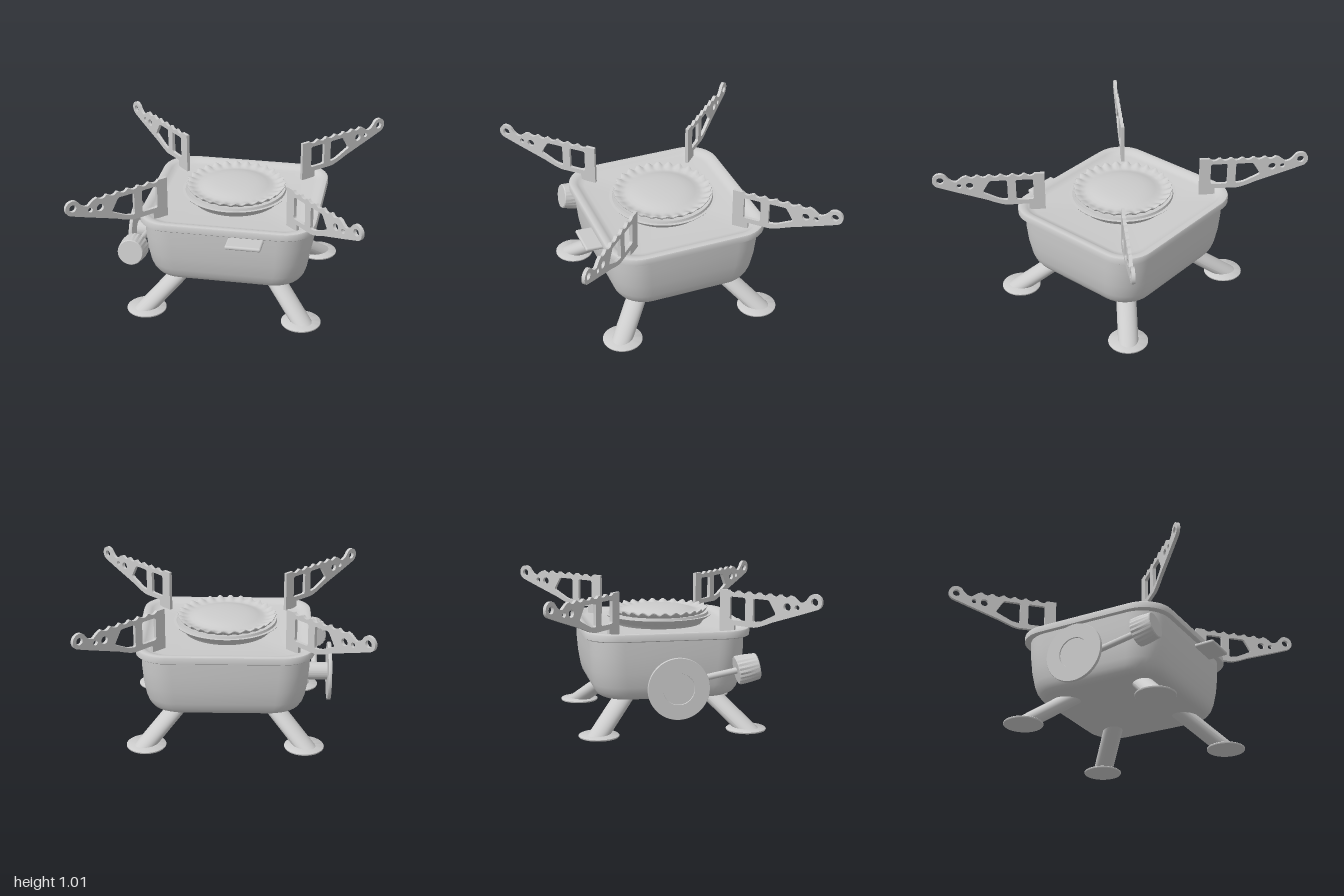
import * as THREE from 'three';
import { toCreasedNormals } from 'three/addons/utils/BufferGeometryUtils.js';
import { RoundedBoxGeometry } from 'three/addons/geometries/RoundedBoxGeometry.js';

const grey = new THREE.MeshStandardMaterial({ color: 0xcccccc, side: THREE.DoubleSide });
const V = (x, y, z) => new THREE.Vector3(x, y, z);

function part(name, geometry, parent) {
  const mesh = new THREE.Mesh(geometry, grey);
  mesh.name = name;
  parent.add(mesh);
  return mesh;
}

// Stacks rounded rectangles [halfX, halfZ, cornerRadius, y] from the bottom up
function loft(rings, perCorner = 10) {
  const pos = [], index = [], n = perCorner * 4;
  for (const [hx, hz, r, y] of rings) {
    for (let c = 0; c < 4; c++) {
      const sx = c === 0 || c === 3 ? 1 : -1, sz = c < 2 ? 1 : -1;
      for (let k = 0; k < perCorner; k++) {
        const a = (c + k / (perCorner - 1)) * Math.PI / 2;
        pos.push(sx * (hx - r) + r * Math.cos(a), y, sz * (hz - r) + r * Math.sin(a));
      }
    }
  }
  for (let i = 0; i < rings.length - 1; i++) {
    for (let j = 0; j < n; j++) {
      const a = i * n + j, b = i * n + (j + 1) % n;
      index.push(a, a + n, b, b, a + n, b + n);
    }
  }
  const g = new THREE.BufferGeometry();
  g.setAttribute('position', new THREE.Float32BufferAttribute(pos, 3));
  g.setIndex(index);
  return toCreasedNormals(g, 0.7);
}

const lathe = (points, segments = 48) =>
  toCreasedNormals(new THREE.LatheGeometry(points.map(p => new THREE.Vector2(...p)), segments), 0.7);

// Straight round bar between two points
function bar(name, a, b, radius, parent) {
  const mesh = part(name, new THREE.CylinderGeometry(radius, radius, a.distanceTo(b), 28), parent);
  mesh.position.copy(a).add(b).multiplyScalar(0.5);
  mesh.quaternion.setFromUnitVectors(V(0, 1, 0), b.clone().sub(a).normalize());
}

// Burner head: rows above the pan get a crimped edge that fades inwards
function wavyCap() {
  const profile = [[0.27, 0.755], [0.31, 0.765], [0.335, 0.78], [0.352, 0.797], [0.352, 0.803], [0.34, 0.803],
    [0.315, 0.793], [0.29, 0.785], [0.265, 0.787], [0.235, 0.797], [0.2, 0.807], [0.15, 0.815], [0.08, 0.82], [0, 0.822]];
  const g = new THREE.LatheGeometry(profile.map(p => new THREE.Vector2(...p)), 224);
  const p = g.attributes.position;
  for (let i = 0; i < p.count; i++) {
    const x = p.getX(i), z = p.getZ(i), r = Math.hypot(x, z);
    const wave = Math.sin(28 * Math.atan2(z, x)) * THREE.MathUtils.smoothstep(r, 0.28, 0.35);
    const s = 1 + 0.02 * wave;
    p.setXYZ(i, x * s, p.getY(i) + 0.01 * wave, z * s);
  }
  return toCreasedNormals(g, 0.8);
}

// Toothed pan support with windows; u runs outwards along the blade
function bladeGeometry() {
  const u = x => (x - 0.43) * Math.SQRT2;
  const ring = [u(0.95), 0.955];
  const s = new THREE.Shape();
  s.moveTo(u(0.43), 0.69);
  s.lineTo(u(0.512), 0.69);
  s.lineTo(u(0.512), 0.74);
  s.lineTo(u(0.62), 0.738);
  s.quadraticCurveTo(u(0.65), 0.74, u(0.72), 0.785);
  s.lineTo(u(0.88), 0.862);
  s.lineTo(ring[0] + 0.025, ring[1] - 0.049);
  s.absarc(...ring, 0.055, -1.1, Math.PI * 0.85, false);
  s.quadraticCurveTo(u(0.895), 0.94, u(0.87), 0.942);
  s.lineTo(u(0.84), 0.975);
  const teeth = 6, pitch = (0.82 - 0.47) / teeth;
  for (let i = 0; i < teeth; i++) {
    const x = 0.82 - i * pitch;
    s.lineTo(u(x), 0.985);
    s.quadraticCurveTo(u(x - pitch * 0.5), 0.95, u(x - pitch * 0.85), 0.985);
  }
  s.lineTo(u(0.43), 0.985);
  s.closePath();

  const windowHole = pts => {
    const h = new THREE.Path(), n = pts.length;
    pts.forEach((p, i) => {
      const a = new THREE.Vector2(...p);
      const toward = q => a.clone().add(new THREE.Vector2(...q).sub(a).setLength(0.015));
      const from = toward(pts[(i + n - 1) % n]), to = toward(pts[(i + 1) % n]);
      if (i) h.lineTo(from.x, from.y); else h.moveTo(from.x, from.y);
      h.quadraticCurveTo(a.x, a.y, to.x, to.y);
    });
    h.closePath();
    s.holes.push(h);
  };
  windowHole([[u(0.488), 0.775], [u(0.488), 0.94], [u(0.575), 0.94], [u(0.575), 0.775]]);
  windowHole([[u(0.618), 0.775], [u(0.618), 0.94], [u(0.705), 0.94], [u(0.745), 0.845], [u(0.66), 0.785]]);
  for (const [x, y, r] of [[u(0.805), 0.905, 0.027], [u(0.858), 0.907, 0.018], [...ring, 0.026]]) {
    s.holes.push(new THREE.Path().absarc(x, y, r, 0, Math.PI * 2, true));
  }
  const g = new THREE.ExtrudeGeometry(s, { depth: 0.024, bevelEnabled: false, curveSegments: 8 });
  g.translate(0, 0, -0.012);
  return toCreasedNormals(g, 0.6);
}

export function createModel() {
  const model = new THREE.Group();
  model.name = 'campStove';

  // Housing, narrowing to a rounded underside
  part('housing', loft([
    [0, 0, 0, 0.23], [0.46, 0.42, 0.17, 0.23], [0.5, 0.46, 0.19, 0.236], [0.53, 0.487, 0.2, 0.253], [0.55, 0.507, 0.21, 0.285],
    [0.565, 0.521, 0.215, 0.33], [0.582, 0.538, 0.22, 0.43], [0.592, 0.547, 0.22, 0.55], [0.595, 0.55, 0.22, 0.67]
  ]), model).position.z = -0.012;

  // Top tray with an overhanging rim and a sunken floor
  part('topTray', loft([
    [0.58, 0.54, 0.2, 0.662], [0.618, 0.576, 0.21, 0.66], [0.626, 0.584, 0.218, 0.666], [0.627, 0.585, 0.22, 0.705],
    [0.622, 0.58, 0.215, 0.714], [0.61, 0.568, 0.205, 0.717], [0.585, 0.543, 0.185, 0.715],
    [0.565, 0.523, 0.17, 0.706], [0.55, 0.508, 0.16, 0.695], [0.52, 0.478, 0.14, 0.69], [0, 0, 0, 0.69]
  ]), model).position.set(0.004, 0, -0.012);

  // Burner
  const burner = new THREE.Group();
  burner.name = 'burner';
  model.add(burner);
  part('burnerPan', lathe([[0.31, 0.685], [0.33, 0.716], [0.382, 0.752], [0.386, 0.758], [0.365, 0.758],
    [0.36, 0.775], [0.33, 0.768], [0.26, 0.765]], 96), burner);
  part('burnerCap', wavyCap(), burner);

  // Four splayed legs on round feet, four pan supports
  const blade = bladeGeometry();
  const foot = lathe([[0, 0.003], [0.12, 0.002], [0.138, 0], [0.141, 0.004], [0.141, 0.011], [0.136, 0.015], [0, 0.02]]);
  for (const sx of [-1, 1]) for (const sz of [-1, 1]) {
    const leg = new THREE.Group();
    leg.name = 'leg';
    model.add(leg);
    part('foot', foot, leg).position.set(sx * 0.56, 0, sz * 0.522);
    const legTop = V(sx * 0.27, 0.285, sz * 0.25), legEnd = V(sx * 0.56, 0.012, sz * 0.522);
    const tube = new THREE.CylinderGeometry(0.072, 0.072, 1, 28, 1, true);
    // Shear the tube so that its ends stay level on the foot
    const p = tube.attributes.position;
    for (let i = 0; i < p.count; i++) {
      const t = p.getY(i) + 0.5, c = V(0, 0, 0).lerpVectors(legEnd, legTop, t);
      const along = p.getX(i) * 1.35, across = p.getZ(i), k = Math.SQRT1_2;
      p.setXYZ(i, c.x + (along * sx - across * sz) * k, c.y, c.z + (along * sz + across * sx) * k);
    }
    tube.computeVertexNormals();
    part('legTube', tube, leg);

    const support = part('panSupport', blade, model);
    support.position.set(sx * 0.43, 0, sz * 0.363);
    support.rotation.y = Math.atan2(-sz, sx);
  }

  // Hose coupling disc on the side
  const coupling = part('couplingDisc', lathe([[0, 0], [0.065, 0], [0.065, 0.185], [0.212, 0.185], [0.214, 0.188],
    [0.214, 0.207], [0.212, 0.21], [0.11, 0.21], [0.108, 0.202], [0, 0.202]], 64), model);
  coupling.rotation.z = Math.PI / 2;
  coupling.position.set(-0.555, 0.357, 0);

  // Control knob with a ribbed skirt, on a sloping rod
  const axis = V(0, 0.18, 1).normalize(), knobBack = V(-0.653, 0.447, 0.425);
  bar('knobRod', V(-0.648, 0.372, 0.03), knobBack.clone().addScaledVector(axis, 0.02), 0.022, model);
  const knobGeo = new THREE.LatheGeometry([[0, 0], [0.092, 0], [0.098, 0.006], [0.098, 0.06], [0.092, 0.145], [0.087, 0.152], [0, 0.152]]
    .map(p => new THREE.Vector2(...p)), 80);
  const kp = knobGeo.attributes.position;
  for (let i = 0; i < kp.count; i++) {
    const x = kp.getX(i), z = kp.getZ(i), y = kp.getY(i);
    const s = 1 + (y < 0.1 ? 0.025 : 0) * Math.cos(20 * Math.atan2(z, x));
    kp.setXYZ(i, x * s, y, z * s);
  }
  const knob = part('controlKnob', toCreasedNormals(knobGeo, 0.5), model);
  knob.position.copy(knobBack);
  knob.quaternion.setFromUnitVectors(V(0, 1, 0), axis);

  // Front pull tab
  const tab = part('frontTab', new RoundedBoxGeometry(0.25, 0.028, 0.18, 3, 0.013), model);
  tab.position.set(0.165, 0.634, 0.592);
  tab.rotation.x = -0.05;
  return model;
}
